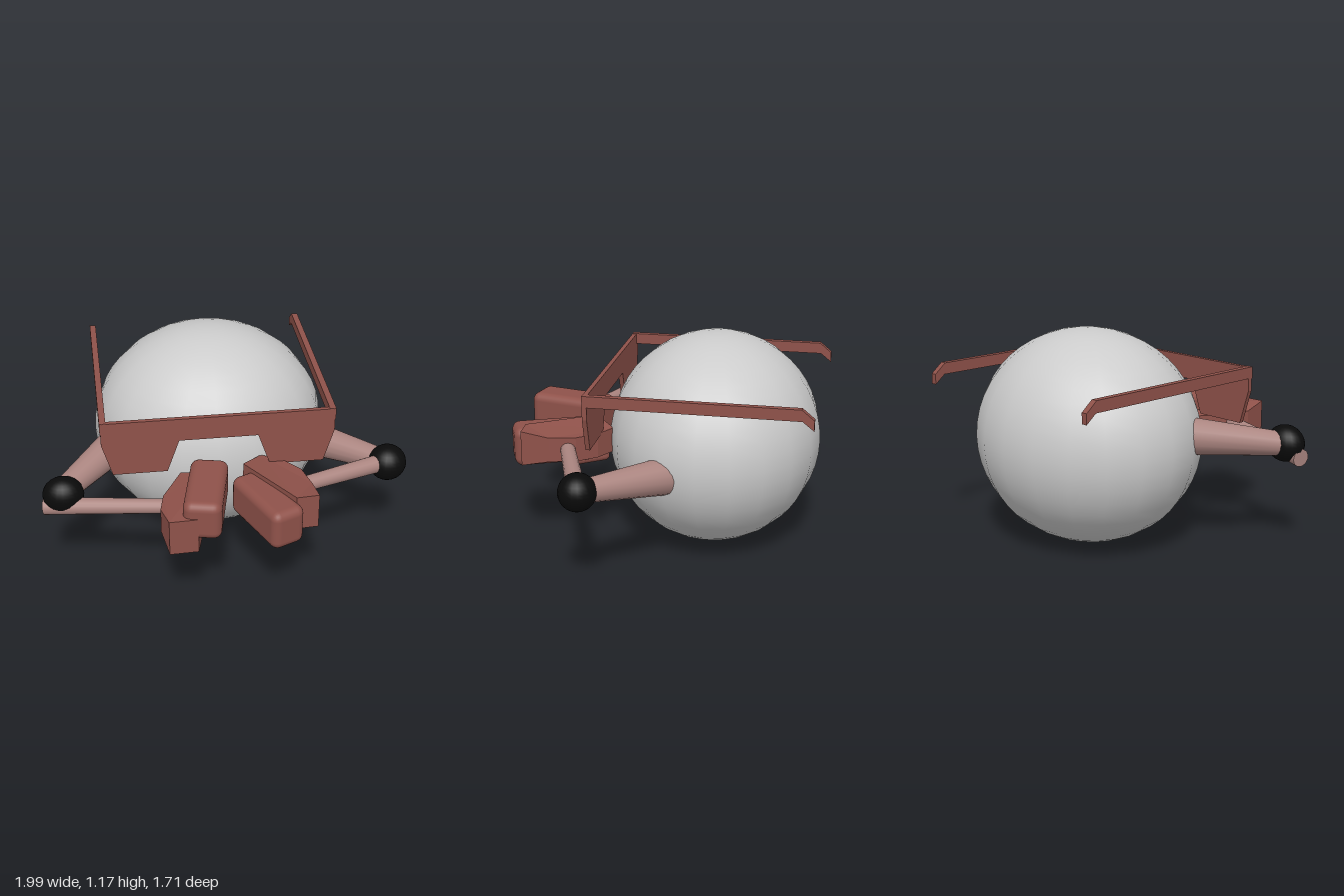
import * as THREE from 'three';
import { RoundedBoxGeometry } from 'three/addons/geometries/RoundedBoxGeometry.js';

const paint = (color) => new THREE.MeshStandardMaterial({ color });
const grey = paint(0xcccccc);
const brown = paint(0x8f524a);
const skin = paint(0xab8580);
const black = paint(0x0a0a0a);

function part(parent, name, geometry, material, pos = [0, 0, 0]) {
  const mesh = new THREE.Mesh(geometry, material);
  mesh.name = name;
  mesh.position.set(...pos);
  parent.add(mesh);
  return mesh;
}

function ellipsoid(parent, name, pos, radii, material, w, h) {
  part(parent, name, new THREE.SphereGeometry(1, w, h), material, pos).scale.set(...radii);
}

// Tapered limb running from point a (radius ra) to point b (radius rb)
function limb(parent, name, a, ra, b, rb) {
  const from = new THREE.Vector3(...a), to = new THREE.Vector3(...b);
  const dir = to.clone().sub(from);
  const mesh = part(parent, name, new THREE.CylinderGeometry(rb, ra, dir.length(), 16), skin);
  mesh.position.copy(from).add(to).multiplyScalar(0.5);
  mesh.quaternion.setFromUnitVectors(new THREE.Vector3(0, 1, 0), dir.normalize());
}

const shapeOf = (points) => new THREE.Shape(points.map(([x, y]) => new THREE.Vector2(x, y)));

// Faceted palm: outline points are [x, z, height factor]
function palm(parent, name, outline, y, height) {
  const geo = new THREE.ExtrudeGeometry(shapeOf(outline.map(([x, z]) => [x, -z])), { depth: height, bevelEnabled: false });
  geo.rotateX(-Math.PI / 2).translate(0, -height / 2, 0);
  const p = geo.attributes.position;
  for (let i = 0; i < p.count; i++) {
    const near = outline.find(([x, z]) => Math.hypot(x - p.getX(i), z - p.getZ(i)) < 1e-3);
    p.setY(i, p.getY(i) * near[2]);
  }
  geo.computeVertexNormals();
  part(parent, name, geo, brown, [0, y, 0]);
}

function block(parent, name, size, radius, pos, yaw, pitch = 0) {
  const mesh = part(parent, name, new RoundedBoxGeometry(...size, 3, radius), brown, pos);
  mesh.rotation.set(pitch, yaw, 0, 'YXZ');
}

export function createModel() {
  const model = new THREE.Group();
  model.name = 'roundFigure';

  // Round body
  ellipsoid(model, 'body', [-0.04, 0.59, -0.25], [0.65, 0.585, 0.585], grey, 20, 24);

  // Spectacle frame: front panel plus two side bars with bent ends
  const frame = new THREE.Group();
  frame.name = 'spectacleFrame';
  frame.position.set(-0.045, 0, 0.345);
  frame.rotation.y = 0.016;
  model.add(frame);
  const half = [[0.62, 0.97], [0.62, 0.84], [0.565, 0.655], [0.275, 0.655], [0.21, 0.84]];
  const panel = shapeOf([...half, ...half.map(([x, y]) => [-x, y]).reverse()]);
  part(frame, 'frontPanel', new THREE.ExtrudeGeometry(panel, { depth: 0.025, bevelEnabled: false }), brown, [0, 0, -0.0125]);
  const bar = shapeOf([[-0.012, 0.91], [1.125, 0.91], [1.185, 0.862], [1.185, 0.918], [1.12, 0.972], [-0.012, 0.972]]);
  for (const side of [-1, 1]) {
    const geo = new THREE.ExtrudeGeometry(bar, { depth: 0.034, bevelEnabled: false });
    geo.rotateY(Math.PI / 2).translate(-0.017, 0, 0);
    part(frame, side > 0 ? 'leftSideBar' : 'rightSideBar', geo, brown, [side * 0.607, 0, 0]);
  }

  // Right arm
  const right = new THREE.Group();
  right.name = 'rightArm';
  model.add(right);
  limb(right, 'rightUpperArm', [-0.53, 0.64, -0.04], 0.105, [-0.875, 0.585, 0.38], 0.065);
  ellipsoid(right, 'rightElbow', [-0.877, 0.583, 0.41], [0.11, 0.1, 0.09], black, 20, 16);
  limb(right, 'rightForearm', [-0.98, 0.52, 0.415], 0.048, [-0.3, 0.575, 0.575], 0.038);
  palm(right, 'rightPalm', [[-0.25, 0.34, 0.7], [-0.1, 0.4, 1], [-0.2, 0.82, 1], [-0.35, 0.828, 1],
    [-0.382, 0.67, 0.7], [-0.36, 0.55, 0.7]], 0.555, 0.2);
  block(right, 'rightFingers', [0.2, 0.215, 0.455], 0.045, [-0.14, 0.63, 0.6], -0.2);
  block(right, 'rightThumb', [0.1, 0.11, 0.23], 0.03, [-0.11, 0.475, 0.455], -0.15, 0.1);

  // Left arm
  const left = new THREE.Group();
  left.name = 'leftArm';
  model.add(left);
  limb(left, 'leftUpperArm', [0.52, 0.54, -0.07], 0.1, [0.88, 0.575, 0.27], 0.06);
  ellipsoid(left, 'leftElbow', [0.893, 0.575, 0.29], [0.104, 0.1, 0.1], black, 20, 16);
  limb(left, 'leftForearm', [0.89, 0.584, 0.295], 0.05, [0.32, 0.597, 0.51], 0.04);
  palm(left, 'leftPalm', [[0.19, 0.28, 0.7], [0.08, 0.4, 1], [0.31, 0.745, 1], [0.43, 0.735, 1],
    [0.42, 0.58, 0.7], [0.385, 0.44, 0.7], [0.3, 0.34, 0.7]], 0.598, 0.195);
  block(left, 'leftFingers', [0.19, 0.22, 0.44], 0.045, [0.177, 0.56, 0.633], 0.42);
  block(left, 'leftThumb', [0.1, 0.1, 0.22], 0.03, [0.12, 0.482, 0.44], 0.4, 0.1);

  return model;
}
